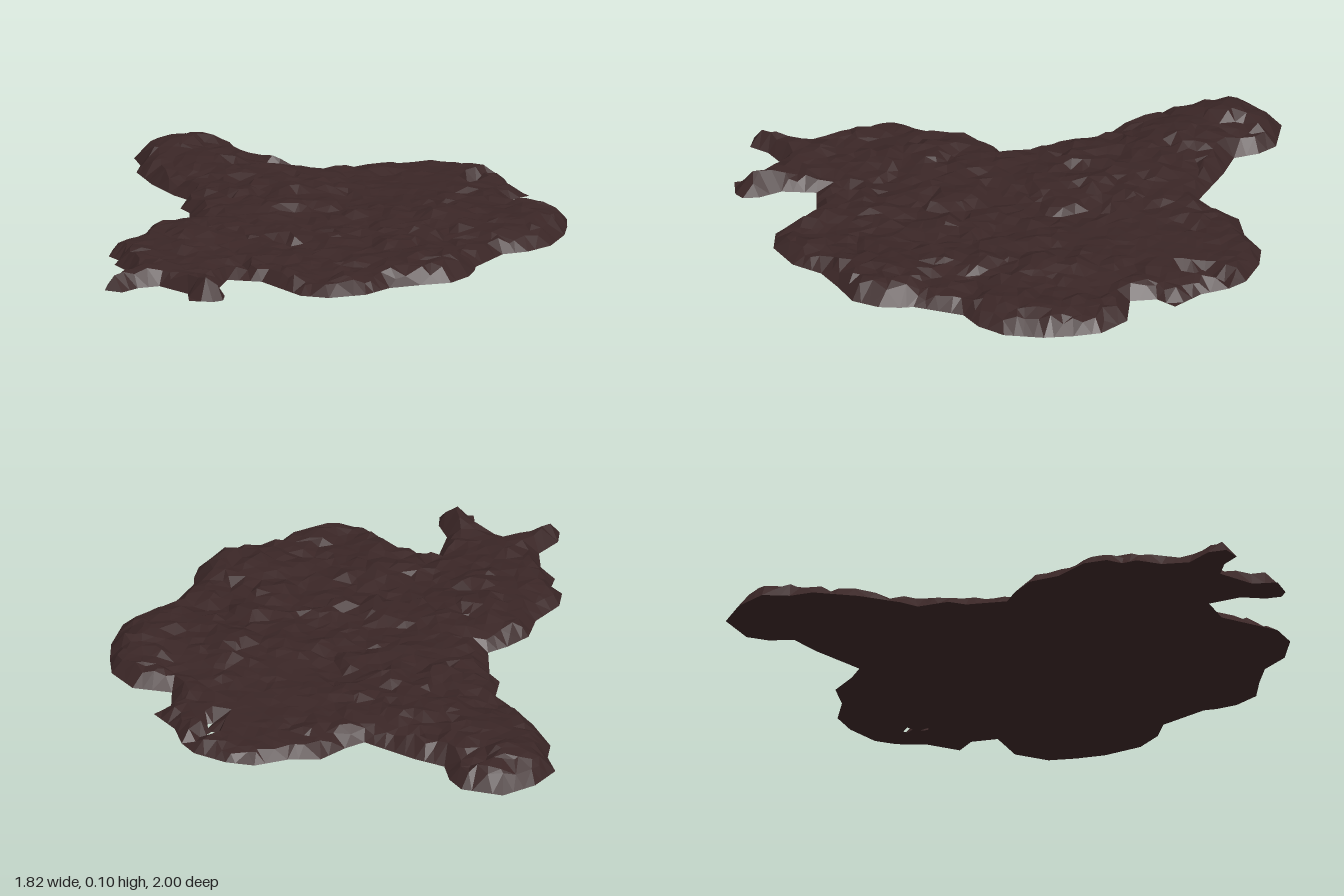
import * as THREE from 'three';

// Footprint, as x, z pairs
const OUTLINE = [
  -0.76, -1, -0.6, -0.99, -0.54, -0.93, -0.5, -0.84, -0.38, -0.81, -0.17, -0.73, -0.11, -0.79, -0.04, -0.89,
  0.08, -0.92, 0.19, -0.99, 0.3, -0.99, 0.43, -0.95, 0.49, -0.89, 0.54, -0.79, 0.64, -0.7, 0.59, -0.63,
  0.61, -0.53, 0.76, -0.53, 0.86, -0.44, 0.89, -0.34, 0.91, -0.23, 0.9, -0.08, 0.84, 0.02, 0.76, 0.08,
  0.71, 0.27, 0.72, 0.32, 0.72, 0.4, 0.68, 0.5, 0.58, 0.56, 0.48, 0.63, 0.42, 0.74, 0.3, 0.82,
  0.19, 0.82, 0, 0.68, -0.13, 0.69, -0.13, 0.82, -0.08, 0.9, -0.07, 0.96, -0.1, 0.99, -0.19, 1,
  -0.22, 0.91, -0.35, 0.84, -0.42, 0.89, -0.46, 0.96, -0.53, 0.95, -0.54, 0.88, -0.49, 0.78, -0.52, 0.68,
  -0.59, 0.61, -0.59, 0.55, -0.64, 0.51, -0.65, 0.42, -0.59, 0.29, -0.59, 0.17, -0.53, 0.08, -0.47, 0.02,
  -0.51, -0.13, -0.56, -0.18, -0.57, -0.3, -0.63, -0.34, -0.75, -0.46, -0.85, -0.6, -0.86, -0.69, -0.91, -0.78,
  -0.86, -0.9,
];
// Small tears through the sheet
const TEARS = [
  [0.4, -0.82, 0.44, -0.87, 0.435, -0.83],
  [0.375, -0.79, 0.415, -0.81, 0.4, -0.78],
  [0.41, -0.72, 0.42, -0.76, 0.428, -0.73],
];
// Broad mounds: x, z, radius, extra height
const MOUNDS = [
  [-0.73, -0.78, 0.17, 0.045], [-0.55, -0.6, 0.16, 0.02], [-0.3, -0.5, 0.2, 0.025],
  [-0.25, -0.25, 0.18, 0.025], [0.48, -0.2, 0.2, 0.03], [0.78, -0.25, 0.12, 0.02],
  [-0.4, 0.15, 0.18, 0.015], [-0.45, 0.45, 0.16, 0.015], [0.5, 0.35, 0.2, 0.015],
  [-0.14, 0.92, 0.1, 0.03], [-0.48, 0.9, 0.1, 0.02],
];

function seeded(seed) {
  return () => {
    seed = (seed * 16807) % 2147483647;
    return seed / 2147483647;
  };
}

const toPoints = (a) => Array.from({ length: a.length / 2 }, (_, i) => [a[2 * i], a[2 * i + 1]]);

function inside(poly, x, z) {
  let hit = false;
  poly.forEach(([ax, az], i) => {
    const [bx, bz] = poly[(i + 1) % poly.length];
    if (az > z !== bz > z && x < ((bx - ax) * (z - az)) / (bz - az) + ax) hit = !hit;
  });
  return hit;
}

function edgeDistance(poly, x, z) {
  let best = 9;
  poly.forEach(([ax, az], i) => {
    const [bx, bz] = poly[(i + 1) % poly.length];
    const dx = bx - ax, dz = bz - az;
    const t = Math.min(1, Math.max(0, ((x - ax) * dx + (z - az) * dz) / (dx * dx + dz * dz)));
    best = Math.min(best, Math.hypot(x - ax - t * dx, z - az - t * dz));
  });
  return best;
}

// Delaunay triangulation of [x, z] points, one point at a time
function triangulate(points) {
  const n = points.length;
  const pts = [...points, [-30, -20], [30, -20], [0, 40]];
  const circle = (a, b, c) => {
    const [ax, az] = pts[a];
    const bx = pts[b][0] - ax, bz = pts[b][1] - az, cx = pts[c][0] - ax, cz = pts[c][1] - az;
    const d = 2 * (bx * cz - bz * cx) || 1e-12;
    const b2 = bx * bx + bz * bz, c2 = cx * cx + cz * cz;
    const ux = (cz * b2 - bz * c2) / d, uz = (bx * c2 - cx * b2) / d;
    return { v: [a, b, c], x: ax + ux, z: az + uz, r2: ux * ux + uz * uz };
  };
  let tris = [circle(n, n + 1, n + 2)];
  for (let i = 0; i < n; i++) {
    const edges = new Map(), keep = [];
    for (const t of tris) {
      if ((pts[i][0] - t.x) ** 2 + (pts[i][1] - t.z) ** 2 >= t.r2) { keep.push(t); continue; }
      for (let k = 0; k < 3; k++) {
        const a = t.v[k], b = t.v[(k + 1) % 3];
        if (!edges.delete(b + ',' + a)) edges.set(a + ',' + b, [a, b]);
      }
    }
    for (const [a, b] of edges.values()) keep.push(circle(a, b, i));
    tris = keep;
  }
  return tris.map((t) => t.v).filter((v) => v.every((i) => i < n));
}

export function createModel() {
  const rand = seeded(4217);
  const outline = toPoints(OUTLINE), tears = TEARS.map(toPoints);
  const points = [], heights = [];
  const add = (x, z, y) => {
    points.push([x + (rand() - 0.5) * 1e-5, z + (rand() - 0.5) * 1e-5]);
    heights.push(y);
  };

  // Rim and tear edges lie on the ground
  outline.forEach(([ax, az], i) => {
    const [bx, bz] = outline[(i + 1) % outline.length];
    const steps = Math.ceil(Math.hypot(bx - ax, bz - az) / 0.05);
    for (let k = 0; k < steps; k++) add(ax + ((bx - ax) * k) / steps, az + ((bz - az) * k) / steps, 0);
  });
  tears.forEach((t) => t.forEach(([x, z]) => add(x, z, 0)));

  // Random clods, each with its own level and tilt
  const clods = Array.from({ length: 330 }, () => ({
    x: rand() * 2 - 1, z: rand() * 2 - 1, y: rand(), sx: rand() - 0.5, sz: rand() - 0.5,
  }));
  const surface = (x, z) => {
    let near = clods[0], best = 9;
    for (const c of clods) {
      const d = Math.hypot(x - c.x, z - c.z);
      if (d < best) { best = d; near = c; }
    }
    // The back right area is smoother
    const rough = 1 - 0.75 * Math.exp(-(((x - 0.27) / 0.22) ** 2) - ((z + 0.65) / 0.25) ** 2);
    let y = 0.044 + rough * (0.024 * (near.y - 0.5) + 0.2 * (near.sx * (x - near.x) + near.sz * (z - near.z)));
    for (const [mx, mz, r, h] of MOUNDS) y += h * Math.exp(-((x - mx) ** 2 + (z - mz) ** 2) / (r * r));
    return y + rough * 0.012 * (rand() - 0.5);
  };
  const step = 0.042;
  for (let gx = -0.95; gx < 0.95; gx += step) {
    for (let gz = -1; gz < 1; gz += step) {
      const x = gx + (rand() - 0.5) * step * 0.8, z = gz + (rand() - 0.5) * step * 0.8;
      if (!inside(outline, x, z) || tears.some((t) => edgeDistance(t, x, z) < 0.012 || inside(t, x, z))) continue;
      const d = edgeDistance(outline, x, z);
      if (d < 0.022) continue;
      add(x, z, surface(x, z) * Math.min(1, 0.25 + d / 0.065));
    }
  }

  // Lumpy top and flat underside share one triangulation
  const top = [], bottom = [];
  for (const v of triangulate(points)) {
    const cx = v.reduce((s, i) => s + points[i][0], 0) / 3, cz = v.reduce((s, i) => s + points[i][1], 0) / 3;
    if (!inside(outline, cx, cz) || tears.some((t) => inside(t, cx, cz))) continue;
    const [a, b, c] = v.map((i) => points[i]);
    const up = (b[1] - a[1]) * (c[0] - a[0]) - (b[0] - a[0]) * (c[1] - a[1]) > 0;
    const order = up ? v : [v[0], v[2], v[1]];
    for (const i of order) top.push(points[i][0], heights[i], points[i][1]);
    for (const i of [...order].reverse()) bottom.push(points[i][0], 0, points[i][1]);
  }

  const soil = new THREE.MeshStandardMaterial({ color: 0x3a2626, flatShading: true });
  soil.name = 'dark brown';
  const group = new THREE.Group();
  group.name = 'dirtPatch';
  for (const [name, positions] of [['lumpyTop', top], ['flatUnderside', bottom]]) {
    const geometry = new THREE.BufferGeometry();
    geometry.setAttribute('position', new THREE.Float32BufferAttribute(positions, 3));
    geometry.computeVertexNormals();
    const mesh = new THREE.Mesh(geometry, soil);
    mesh.name = name;
    group.add(mesh);
  }
  return group;
}
